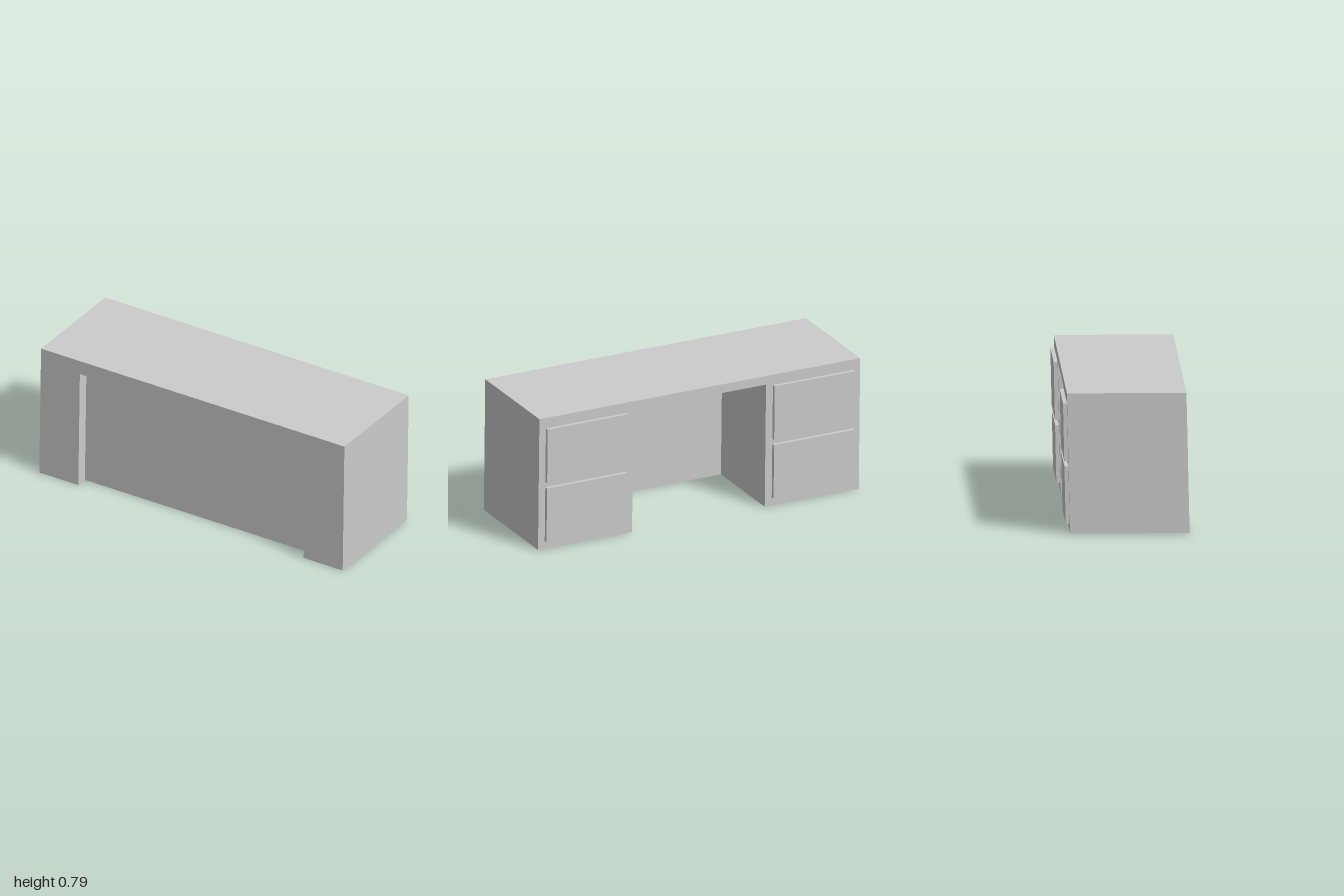
import * as THREE from 'three';

const W = 0.996, D = 0.331, H = 0.787;         // half width, half depth, height
const KNEE_X = 0.412, KNEE_Z = 0.204, KNEE_Y = 0.735;
const RECESS_X = 0.74, RECESS_Z = 0.263, RECESS_Y = 0.705;

export function createModel() {
  const desk = new THREE.Group();
  desk.name = 'desk';
  const material = new THREE.MeshStandardMaterial({ color: 0xcccccc });

  // The whole desk is turned slightly and leans a little toward its back
  const lean = new THREE.Matrix4().set(
    1, 0, 0.0117, 0,
    0, 1, 0, 0,
    -0.0117, -0.0225, 1, 0.0195,
    0, 0, 0, 1);

  const add = (name, geometry) => {
    const mesh = new THREE.Mesh(geometry.applyMatrix4(lean), material);
    mesh.name = name;
    desk.add(mesh);
  };

  // Floor plan given as [x, z] for the right half, mirrored and raised from y0 to y1
  const addPlan = (name, half, y0, y1) => {
    const points = [...half, ...half.map(([x, z]) => [-x, z]).reverse()];
    const shape = new THREE.Shape(points.map(([x, z]) => new THREE.Vector2(x, -z)));
    const geometry = new THREE.ExtrudeGeometry(shape, { depth: y1 - y0, bevelEnabled: false });
    add(name, geometry.rotateX(-Math.PI / 2).translate(0, y0, 0));
  };

  const back = [[KNEE_X, KNEE_Z], [KNEE_X, -D], [W, -D], [W, D]];

  // Pedestals joined by the recessed front panel
  addPlan('pedestalsAndFrontPanel',
    [...back, [RECESS_X, D], [RECESS_X, RECESS_Z]], 0, RECESS_Y);
  // Band closing the top of the front recess
  addPlan('frontRail', back, RECESS_Y, KNEE_Y);
  // Desk top
  addPlan('deskTop', [[W, -D], [W, D]], KNEE_Y, H);

  // Two drawer fronts on the back of each pedestal
  const drawerDepth = 0.022;
  for (const side of [-1, 1]) {
    for (const [level, y] of [['lower', 0.209], ['upper', 0.5625]]) {
      const front = new THREE.BoxGeometry(0.5, 0.324, drawerDepth);
      front.translate(side * 0.705, y, -D - drawerDepth / 2);
      add(`${level}Drawer${side > 0 ? 'Left' : 'Right'}`, front);
    }
  }
  return desk;
}
